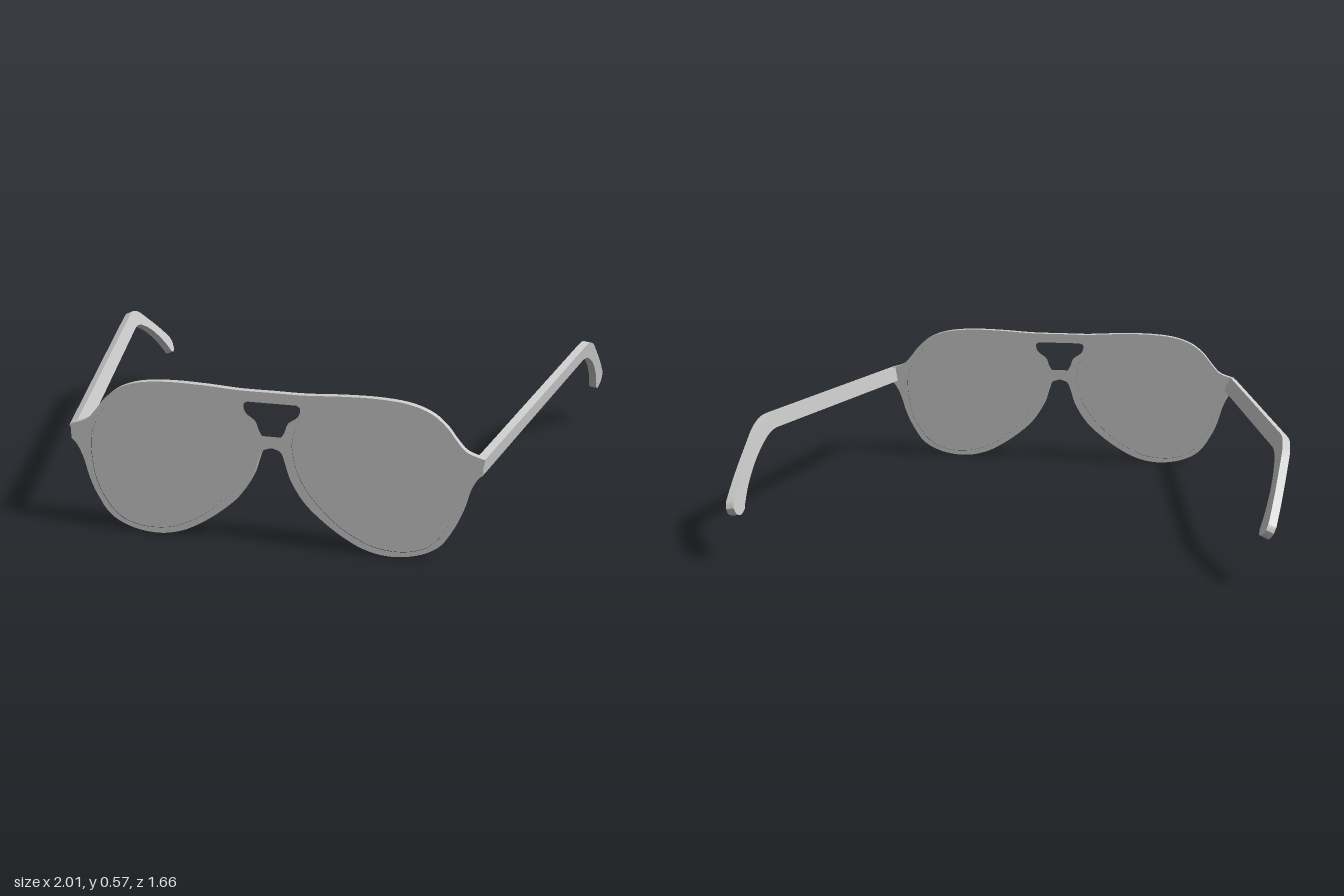
import * as THREE from 'three';
import { toCreasedNormals } from 'three/addons/utils/BufferGeometryUtils.js';

const material = new THREE.MeshStandardMaterial({ color: 0xcccccc });
const CENTRE = 0.008; // sideways offset of the front
const vecs = (list) => list.map(([x, y]) => new THREE.Vector2(x, y));
const smooth = (list, n) => new THREE.SplineCurve(vecs(list)).getPoints(n);
const mirror = (pts) => pts.map((p) => new THREE.Vector2(-p.x, p.y)).reverse();

function addMesh(group, geometry, name) {
  const mesh = new THREE.Mesh(toCreasedNormals(geometry, 0.6), material);
  mesh.name = name;
  group.add(mesh);
}

// Upright slab, leaning back towards the top
function leaningSlab(shape, depth, middle = 0.816) {
  const geo = new THREE.ExtrudeGeometry(shape, { depth, bevelEnabled: false });
  geo.translate(CENTRE, 0, middle - depth / 2);
  const p = geo.attributes.position;
  for (let i = 0; i < p.count; i++) p.setZ(i, p.getZ(i) - 0.042 * p.getY(i));
  return geo;
}

// Temple arm: flat side profile, splayed outwards and rolled about its long axis
function templeArm({ side, start, splay, rise, roll }) {
  const top = smooth([[0.4, 0.457], [0.46, 0.454], [0.53, 0.43], [0.6, 0.385], [0.72, 0.3], [0.8, 0.236], [0.822, 0.215]], 24);
  const tip = smooth([[0.829, 0.195], [0.815, 0.17], [0.78, 0.158], [0.75, 0.172]], 8);
  const under = smooth([[0.74, 0.19], [0.69, 0.25], [0.6, 0.323], [0.5, 0.376], [0.44, 0.393], [0.4, 0.397]], 20);
  const outline = [...vecs([[-0.81, 0.328], [-0.81, 0.39]]), ...top, ...tip, ...under];
  const geo = new THREE.ExtrudeGeometry(new THREE.Shape(outline), { depth: 0.03, bevelEnabled: false });
  geo.translate(0, 0, -0.015);
  geo.rotateY(Math.PI / 2);
  const p = geo.attributes.position;
  const c = Math.cos(roll), s = Math.sin(roll);
  for (let i = 0; i < p.count; i++) {
    const t = p.getX(i), z = p.getZ(i), back = 0.8 - z;
    const d = p.getY(i) - (0.36 + 0.056 * back);
    p.setX(i, side * (start + splay * back + d * s) + t * c);
    p.setY(i, 0.361 + rise * back + d * c - side * t * s);
  }
  return geo;
}

export function createModel() {
  const group = new THREE.Group();
  group.name = 'sunglasses';

  // Half outline of the front: brow to hinge, then hinge round the rim to the bridge
  const brow = smooth([[0, 0.566], [0.12, 0.566], [0.25, 0.573], [0.38, 0.575], [0.49, 0.565], [0.57, 0.538],
    [0.625, 0.495], [0.665, 0.445], [0.7, 0.41], [0.758, 0.39]], 50);
  const rim = smooth([[0.758, 0.335], [0.735, 0.31], [0.712, 0.262], [0.69, 0.19], [0.66, 0.125], [0.61, 0.055],
    [0.53, 0.014], [0.43, 0.001], [0.34, 0.018], [0.26, 0.058], [0.18, 0.115], [0.117, 0.175], [0.07, 0.25],
    [0.048, 0.315], [0.033, 0.35], [0, 0.363]], 80);
  const half = [...brow, ...rim];
  const frame = new THREE.Shape([...half, ...mirror(half).slice(1, -1)]);

  // Lens openings and the gap between brow bar and bridge
  const lensLoop = smooth([[0.073, 0.38], [0.09, 0.45], [0.13, 0.505], [0.2, 0.537], [0.35, 0.553], [0.48, 0.545],
    [0.57, 0.513], [0.635, 0.45], [0.672, 0.38], [0.682, 0.31], [0.668, 0.2], [0.63, 0.115], [0.57, 0.05],
    [0.49, 0.023], [0.4, 0.025], [0.33, 0.047], [0.24, 0.1], [0.14, 0.2], [0.09, 0.29], [0.073, 0.38]], 90).slice(0, -1);
  const lenses = { leftLens: lensLoop, rightLens: mirror(lensLoop) };
  const gapSide = smooth([[0.09, 0.527], [0.104, 0.515], [0.095, 0.485], [0.06, 0.458], [0.047, 0.425], [0.035, 0.405]], 20);
  frame.holes.push(new THREE.Path([...gapSide, ...mirror(gapSide)]));
  for (const loop of Object.values(lenses)) frame.holes.push(new THREE.Path(loop));
  addMesh(group, leaningSlab(frame, 0.026), 'frontFrame');

  // Lenses, set just inside both faces of the frame
  for (const [name, loop] of Object.entries(lenses)) {
    addMesh(group, leaningSlab(new THREE.Shape(loop), 0.021), name);
  }

  // Temple arms, opened slightly unevenly
  addMesh(group, templeArm({ side: 1, start: 0.752, splay: 0.164, rise: 0.056, roll: 0.14 }), 'leftTempleArm');
  addMesh(group, templeArm({ side: -1, start: 0.733, splay: 0.2, rise: 0.046, roll: 0.42 }), 'rightTempleArm');
  return group;
}
